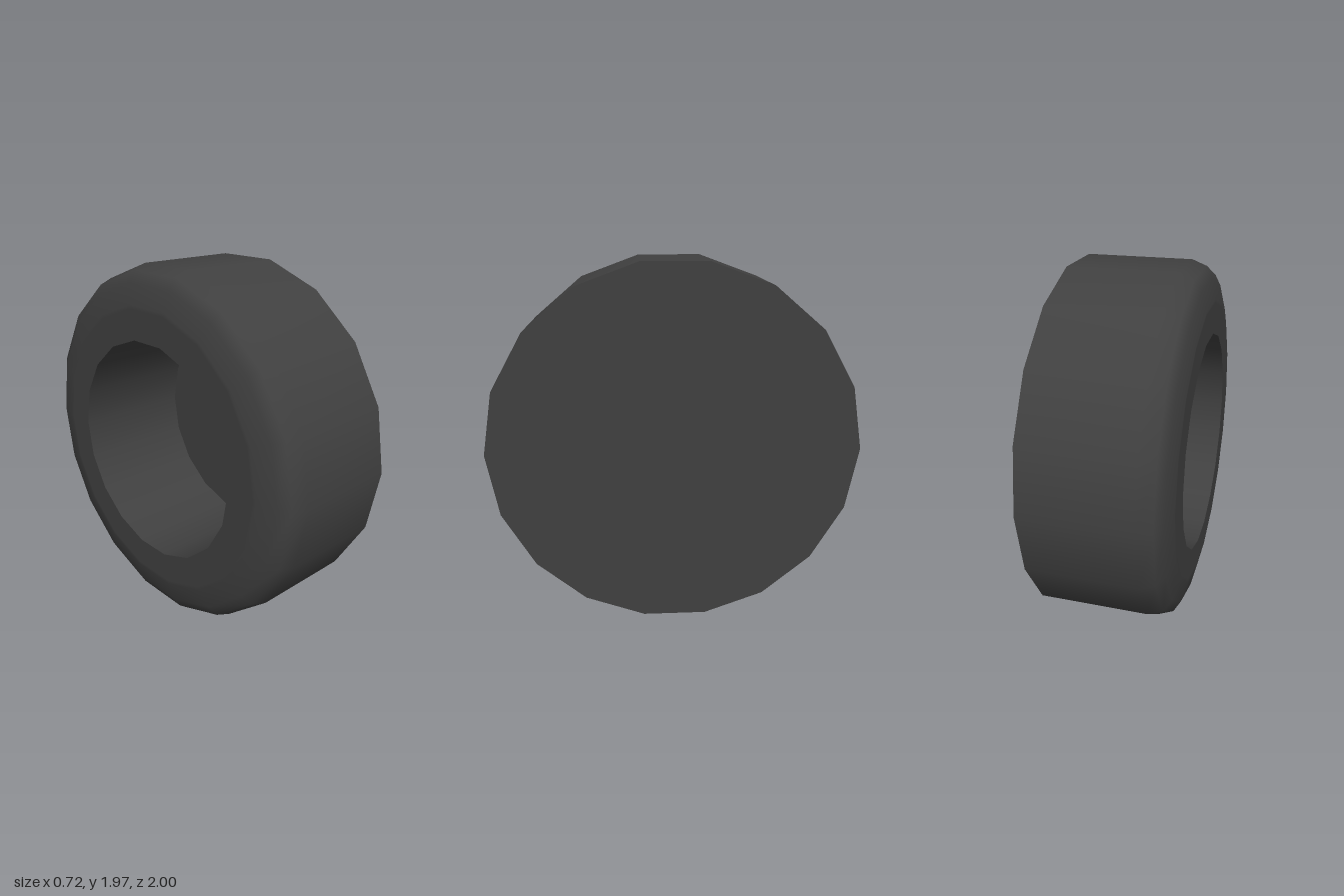
import * as THREE from 'three';

const SIDES = 18;
const HALF = 0.36;      // half the tyre width
const HOLE = 0.615;     // radius of the recess
const FLOOR = 0.33;     // depth position of the recess floor

export function createModel() {
  const wheel = new THREE.Group();
  wheel.name = 'wheel';

  const rubber = new THREE.MeshStandardMaterial({ color: 0x404040 });
  rubber.name = 'dark rubber';

  // Revolves a profile of [radius, x] points around the x axis
  function ring(name, profile) {
    const points = profile.map(([r, x]) => new THREE.Vector2(r, x));
    const geometry = new THREE.LatheGeometry(points, SIDES);
    geometry.rotateZ(-Math.PI / 2);
    const mesh = new THREE.Mesh(geometry, rubber);
    mesh.name = name;
    wheel.add(mesh);
  }

  // Each sharp edge starts a new part; the shoulder flows smoothly into the tread
  ring('recessFloor', [[0, FLOOR], [HOLE, FLOOR]]);
  ring('recessWall', [[HOLE, FLOOR], [HOLE, -HALF]]);
  ring('sidewall', [[HOLE, -HALF], [0.78, -HALF]]);
  ring('tread', [
    [0.78, -HALF], [0.8, -HALF], [0.91, -0.335], [0.97, -0.3], [1, -0.22], [1, HALF],
  ]);
  ring('flatCap', [[1, HALF], [0, HALF]]);

  // Rest the flat lower side on the ground
  wheel.position.y = Math.cos(Math.PI / SIDES);
  return wheel;
}
